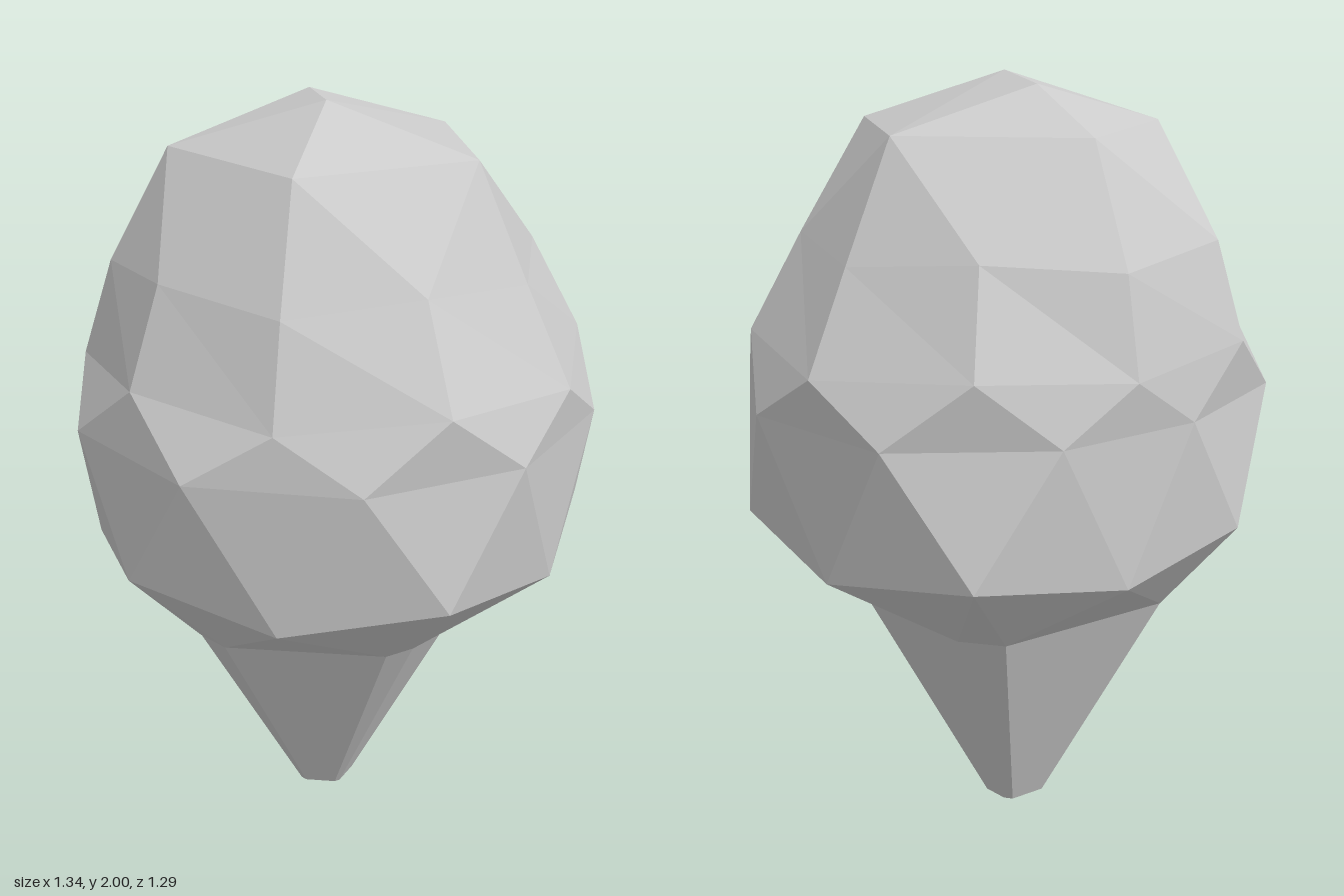
import * as THREE from 'three';

const SIDES = 10;
const vec = (x, y, z) => new THREE.Vector3(x, y, z);

// Ring of points; radius, height and angle (degrees) are given per index
function ring(cx, cz, radius, height, angle) {
  return Array.from({ length: SIDES }, (_, j) => {
    const a = THREE.MathUtils.degToRad(angle(j));
    return vec(cx + radius(j) * Math.cos(a), height(j), cz + radius(j) * Math.sin(a));
  });
}

// Triangles between two rings; 'ahead' means the lower ring sits half a step further on
function band(tris, a, b, ahead) {
  for (let j = 0; j < SIDES; j++) {
    const k = (j + 1) % SIDES;
    if (ahead) tris.push(a[j], a[k], b[j], a[k], b[k], b[j]);
    else tris.push(a[j], b[k], b[j], a[j], a[k], b[k]);
  }
}

function facetedMesh(name, points) {
  const geometry = new THREE.BufferGeometry().setFromPoints(points);
  geometry.computeVertexNormals();
  const material = new THREE.MeshStandardMaterial({ color: 0xcccccc, flatShading: true });
  const mesh = new THREE.Mesh(geometry, material);
  mesh.name = name;
  return mesh;
}

export function createModel() {
  const group = new THREE.Group();
  group.name = 'iceCreamCone';

  const step = (j) => j * 36;
  const halfStep = (j) => j * 36 + 18;
  const even = (j) => j % 2 === 0;

  // Scoop rings, from the shoulder down; the back is flattened
  const upperR = [0.54, 0.51, 0.53, 0.52, 0.55, 0.54, 0.56, 0.56, 0.55, 0.535];
  const bulgeR = [0.665, 0.645, 0.655, 0.655, 0.635, 0.635, 0.64, 0.635, 0.605, 0.645];
  const middleR = [0.685, 0.68, 0.67, 0.67, 0.69, 0.69, 0.685, 0.605, 0.625, 0.685];
  const lowerR = [0.637, 0.675, 0.637, 0.675, 0.637, 0.675, 0.637, 0.65, 0.59, 0.675];
  const upper = ring(0, -0.03, (j) => upperR[j], (j) => (even(j) ? 1.6 : 1.63), step);
  const bulge = ring(0, -0.03, (j) => bulgeR[j], (j) => (even(j) ? 1.36 : 1.39), step);
  const middle = ring(0, -0.03, (j) => middleR[j], () => 1.23, halfStep);
  const lower = ring(0, -0.03, (j) => lowerR[j], (j) => (even(j) ? 0.845 : 0.904), step);

  // Cone rings: five wide faces with narrow bevels between them
  const coneAngles = [25, 45, 97, 108, 168, 180, 240, 252, 322, 339];
  const coneAngle = (j) => coneAngles[j];
  const neck = ring(-0.03, -0.05, () => 0.42, () => 0.645, coneAngle);
  const tip = ring(-0.015, -0.065, () => 0.086, () => 0, coneAngle);

  // Scoop crown: five corners around a short uneven ridge
  const scoop = [];
  const crown = Array.from({ length: 5 }, (_, k) => {
    const a = (k * Math.PI * 2) / 5;
    return vec(-0.008 + 0.398 * Math.cos(a), 1.88, -0.03 + 0.398 * Math.sin(a));
  });
  const ridgeFront = vec(-0.085, 2, 0.04);
  const ridgeBack = vec(0.06, 1.985, -0.19);
  const [c0, c1, c2, c3, c4] = crown;
  scoop.push(
    ridgeFront, c1, c0, ridgeFront, c2, c1, ridgeFront, c3, c2,
    ridgeFront, ridgeBack, c3, ridgeBack, c4, c3, ridgeBack, c0, c4,
    ridgeFront, c0, ridgeBack
  );
  crown.forEach((c, k) => {
    const before = upper[(2 * k + 9) % SIDES];
    const below = upper[2 * k];
    const after = upper[2 * k + 1];
    scoop.push(c, below, before, c, after, below, c, crown[(k + 1) % 5], after);
  });

  // Scoop sides and underside
  band(scoop, upper, bulge, true);
  band(scoop, bulge, middle, true);
  band(scoop, middle, lower, false);
  band(scoop, lower, neck, true);
  group.add(facetedMesh('scoop', scoop));

  // Cone with a blunt closed tip
  const cone = [];
  band(cone, neck, tip, true);
  for (let j = 1; j < SIDES - 1; j++) cone.push(tip[0], tip[j], tip[j + 1]);
  group.add(facetedMesh('cone', cone));

  return group;
}
